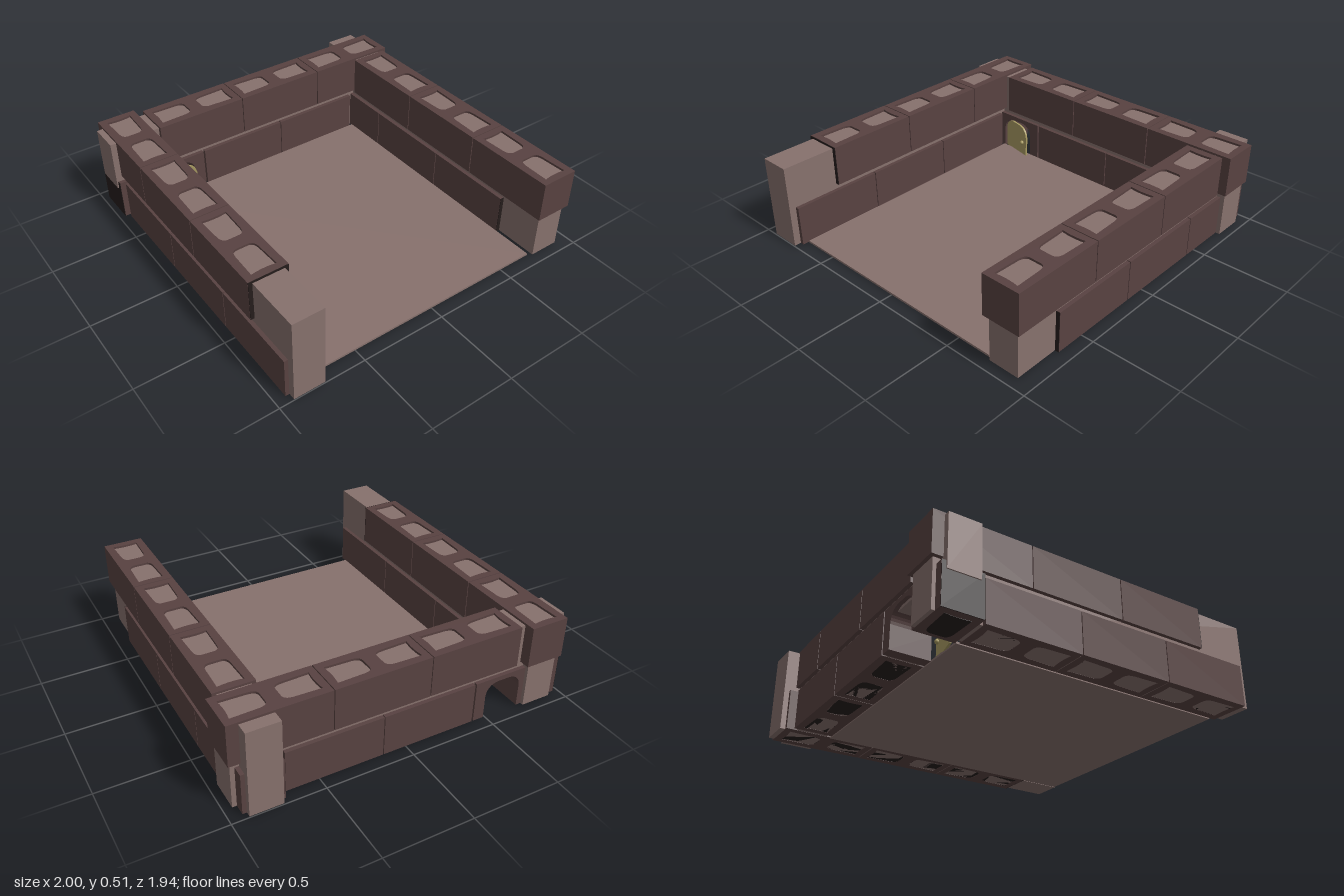
import * as THREE from 'three';

const LEN = 0.545, WIDE = 0.225, HIGH = 0.237, PITCH = 0.55;

export function createModel() {
  const mat = (name, color) => new THREE.MeshStandardMaterial({ name, color });
  const block = mat('brown block', 0x584241);
  const mortar = mat('pale mortar', 0x87716d);
  const dark = mat('dark hollow', 0x251d1c);
  const wood = mat('olive wood', 0xa89b62);
  const model = new THREE.Group();
  model.name = 'blockEnclosure';

  const add = (parent, name, geometry, material, x = 0, y = 0, z = 0) => {
    const mesh = new THREE.Mesh(geometry, material);
    mesh.name = name;
    mesh.position.set(x, y, z);
    parent.add(mesh);
    return mesh;
  };
  // box given by its minimum and maximum on each axis
  const span = (name, material, [x0, x1], [y0, y1], [z0, z1]) => add(model, name,
    new THREE.BoxGeometry(x1 - x0, y1 - y0, z1 - z0), material,
    (x0 + x1) / 2, (y0 + y1) / 2, (z0 + z1) / 2);

  // cell outline: square at the outer end, rounded and narrower at the inner end
  const cell = (Type, s) => {
    const p = new Type();
    p.moveTo(s * 0.235, -0.07);
    p.lineTo(s * 0.085, -0.065);
    p.quadraticCurveTo(s * 0.043, -0.062, s * 0.04, -0.035);
    p.lineTo(s * 0.04, 0.035);
    p.quadraticCurveTo(s * 0.043, 0.062, s * 0.085, 0.065);
    p.lineTo(s * 0.235, 0.07);
    p.quadraticCurveTo(s * 0.222, 0, s * 0.235, -0.07);
    return p;
  };
  const slab = (shape, depth) =>
    new THREE.ExtrudeGeometry(shape, { depth, bevelEnabled: false, curveSegments: 5 }).rotateX(-Math.PI / 2);

  // hollow block with two cells
  const outline = new THREE.Shape([
    [-LEN / 2, -WIDE / 2], [LEN / 2, -WIDE / 2], [LEN / 2, WIDE / 2], [-LEN / 2, WIDE / 2],
  ].map(([x, y]) => new THREE.Vector2(x, y)));
  outline.holes.push(cell(THREE.Path, 1), cell(THREE.Path, -1));
  const blockGeo = slab(outline, HIGH);
  const plateGeos = [1, -1].map(s => slab(cell(THREE.Shape, s), 0.004));

  // a course of blocks from a start point along x, or along z when turned
  const course = (name, x, z, y, turned, count, open) => {
    for (let i = 0; i < count; i++) {
      const d = LEN / 2 + i * PITCH, g = new THREE.Group();
      g.name = name + 'Block' + (i + 1);
      g.position.set(turned ? x : x + d, y, turned ? z + d : z);
      if (turned) g.rotation.y = Math.PI / 2;
      add(g, 'hollowBlock', blockGeo, block);
      if (open) plateGeos.forEach(p => add(g, 'cellShadow', p, dark, 0, 0.001, 0));
      model.add(g);
    }
  };
  const FZ = 0.828, BZ = -0.818, LX = -0.818, LOW = 0.006, UP = 0.275;
  course('frontLower', -0.685, FZ, LOW, false, 3, true);
  course('frontUpper', -0.97, FZ, UP, false, 3, false);
  course('backLower', -0.97, BZ, LOW, false, 3, true);
  course('backUpper', -0.685, BZ, UP, false, 3, false);
  course('sideLower', LX, -0.685, LOW, true, 2, true);
  course('sideUpper', LX, -0.97, UP, true, 3, false);

  // mortar cores filling the walls
  span('frontCore', mortar, [-0.95, 1], [0.007, 0.5], [0.738, 0.918]);
  span('backCore', mortar, [-1, 0.94], [0.007, 0.5], [-0.908, -0.728]);
  span('sideCore', mortar, [-0.908, -0.728], [0.007, 0.5], [-0.955, 0.45]);
  span('sideCoreAboveDoor', mortar, [-0.908, -0.728], [0.2, 0.5], [0.45, 0.975]);

  // floor slab
  span('floor', mortar, [-0.705, 0.92], [0, 0.012], [-0.706, 0.718]);

  // rounded arch points, shared by the doorway and the door
  const arch = (p, x0, x1, y0, y1, r) => {
    p.lineTo(x0, y0);
    p.lineTo(x0, y1 - r);
    p.quadraticCurveTo(x0 + 0.006, y1 - 0.006, x0 + r, y1);
    p.lineTo(x1 - r, y1);
    p.quadraticCurveTo(x1 - 0.006, y1 - 0.006, x1, y1 - r);
    p.lineTo(x1, y0);
  };
  const across = (shape, depth) => new THREE.ExtrudeGeometry(shape,
    { depth, bevelEnabled: false, curveSegments: 8 }).rotateY(-Math.PI / 2);

  // corner block with the doorway cut through it
  const gate = new THREE.Shape();
  gate.moveTo(0.42, 0);
  arch(gate, 0.485, 0.707, 0, 0.21, 0.075);
  gate.lineTo(0.965, 0);
  gate.lineTo(0.965, HIGH);
  gate.lineTo(0.42, HIGH);
  gate.closePath();
  add(model, 'doorwayBlock', across(gate, WIDE), block, LX + WIDE / 2, LOW, 0);
  const shadow = add(model, 'doorwayCellShadow', plateGeos[1], dark, LX, 0.004, 0.6925);
  shadow.rotation.y = Math.PI / 2;

  // dark hollow ends
  span('doorwayBlockEnd', dark, [-0.93, -0.706], [LOW, LOW + HIGH], [0.964, 0.968]);
  span('backLowerEnd', dark, [0.674, 0.678], [LOW, LOW + HIGH], [-0.93, -0.706]);
  span('frontUpperEnd', dark, [0.674, 0.678], [UP, UP + HIGH], [0.716, 0.94]);

  // door standing slightly ajar, hinged at its front edge
  const door = new THREE.Group();
  door.name = 'door';
  door.position.set(-0.722, 0.008, 0.7);
  door.rotation.y = -0.215;
  const leaf = new THREE.Shape();
  leaf.moveTo(-0.215, 0);
  arch(leaf, -0.215, 0, 0, 0.2, 0.07);
  leaf.closePath();
  add(door, 'doorLeaf', across(leaf, 0.012), wood, 0.006, 0, 0);
  for (const s of [1, -1]) {
    add(door, 'doorKnob', new THREE.SphereGeometry(0.013, 14, 10), wood, s * 0.013, 0.09, -0.18);
  }
  model.add(door);

  return model;
}
